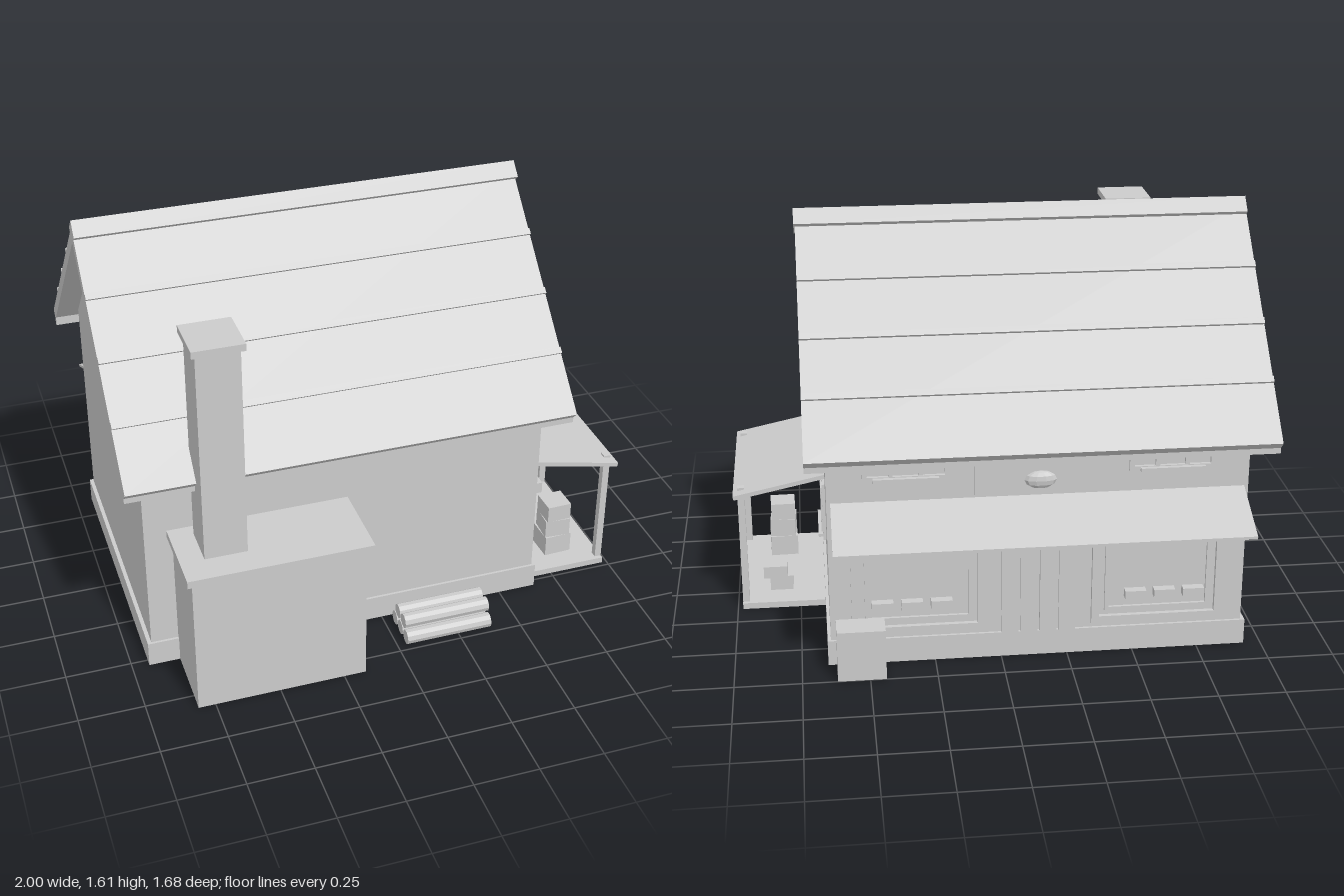
import * as THREE from 'three';

const material = new THREE.MeshStandardMaterial({ color: 0xcccccc, flatShading: true });

function add(parent, name, geometry) {
  const mesh = new THREE.Mesh(geometry, material);
  mesh.name = name;
  parent.add(mesh);
  return mesh;
}

// Box given by its limits on each axis
function box(parent, name, x0, x1, y0, y1, z0, z1) {
  const mesh = add(parent, name, new THREE.BoxGeometry(x1 - x0, y1 - y0, z1 - z0));
  mesh.position.set((x0 + x1) / 2, (y0 + y1) / 2, (z0 + z1) / 2);
  return mesh;
}

// Profile of [z, y] points swept along x
function sweep(parent, name, points, x0, x1) {
  const shape = new THREE.Shape(points.map(([z, y]) => new THREE.Vector2(z, y)));
  const geometry = new THREE.ExtrudeGeometry(shape, { depth: x1 - x0, bevelEnabled: false });
  geometry.rotateY(-Math.PI / 2).translate(x1, 0, 0);
  return add(parent, name, geometry);
}

// Rectangular frame on the back wall
function frame(parent, name, x0, x1, y0, y1, bar, z0, z1) {
  const shape = new THREE.Shape([[x0, y0], [x1, y0], [x1, y1], [x0, y1]].map(p => new THREE.Vector2(...p)));
  shape.holes.push(new THREE.Path([[x0 + bar, y0 + bar], [x0 + bar, y1 - bar], [x1 - bar, y1 - bar], [x1 - bar, y0 + bar]]
    .map(p => new THREE.Vector2(...p))));
  const geometry = new THREE.ExtrudeGeometry(shape, { depth: z1 - z0, bevelEnabled: false });
  geometry.translate(0, 0, z0);
  return add(parent, name, geometry);
}

const RIDGE_Z = -0.05;
const CENTER_X = -0.14;
const BACK = -0.615;

function buildRoof(house) {
  const roof = new THREE.Group();
  roof.name = 'roof';
  house.add(roof);
  const at = (dz, y) => [RIDGE_Z + dz, y];
  sweep(roof, 'roofSlabs', [
    at(0.71, 0.88), at(0, 1.585), at(-0.71, 0.88), at(-0.68, 0.85), at(0, 1.525), at(0.68, 0.85),
  ], -1, 0.715);
  // Ridge beam turned on its corner
  sweep(roof, 'ridgeCap', [at(0.048, 1.563), at(0, 1.612), at(-0.048, 1.563), at(0, 1.515)], -1, 0.72);
  for (const side of [-1, 1]) {
    for (const dz of [0.19, 0.36, 0.53]) {
      const batten = add(roof, 'batten', new THREE.BoxGeometry(1.715, 0.026, 0.024));
      batten.position.set(-0.1425, 1.583 - dz * 0.993, RIDGE_Z + side * dz);
      batten.rotation.x = side * Math.PI / 4;
    }
    const z = RIDGE_Z + side * 0.673;
    box(roof, 'eaveBoard', -1, 0.715, 0.83, 0.885, z - 0.009, z + 0.009);
  }
}

function buildChimney(house) {
  const chimney = new THREE.Group();
  chimney.name = 'chimney';
  house.add(chimney);
  box(chimney, 'ovenBlock', -0.815, -0.165, 0, 0.57, 0.5, 0.82);
  box(chimney, 'ovenSlab', -0.835, -0.14, 0.57, 0.6, 0.51, 0.84);
  box(chimney, 'chimneyStack', -0.745, -0.585, 0.6, 1.435, 0.567, 0.73);
  box(chimney, 'chimneyCap', -0.76, -0.57, 1.433, 1.46, 0.55, 0.745);
}

function buildLogs(house) {
  const logs = new THREE.Group();
  logs.name = 'logPile';
  house.add(logs);
  for (const [z, y] of [[0.71, 0.03], [0.648, 0.03], [0.586, 0.03], [0.679, 0.085], [0.617, 0.085]]) {
    const log = add(logs, 'log', new THREE.CylinderGeometry(0.029, 0.029, 0.345, 10));
    log.rotation.z = Math.PI / 2;
    log.position.set(0.2075, y, z);
  }
}

function buildLeanTo(house) {
  const leanTo = new THREE.Group();
  leanTo.name = 'leanTo';
  house.add(leanTo);
  box(leanTo, 'platform', 0.64, 0.98, 0, 0.025, -0.145, 0.48);
  const cover = add(leanTo, 'leanToRoof', new THREE.BoxGeometry(0.366, 0.017, 0.675));
  cover.position.set(0.816, 0.534, 0.165);
  cover.rotation.z = -0.21;
  for (const z of [-0.115, 0.45]) box(leanTo, 'post', 0.953, 0.98, 0, 0.52, z - 0.014, z + 0.014);

  // Stacked sacks and crates
  const stack = [[0.025, 0.11, 0.056, 0.04], [0.11, 0.185, 0.052, -0.05], [0.185, 0.255, 0.05, 0.03]];
  for (const [y0, y1, r, turn] of stack) {
    box(leanTo, 'sack', 0.815 - r, 0.815 + r, y0, y1, 0.335 - r, 0.335 + r).rotation.y = turn;
  }
  box(leanTo, 'lowerCrate', 0.78, 0.87, 0.03, 0.09, -0.05, 0.04);
  box(leanTo, 'upperCrate', 0.8, 0.895, 0.085, 0.135, -0.055, 0.05);

  // Side window below the cover
  box(leanTo, 'sideWindow', 0.63, 0.652, 0.32, 0.555, -0.21, 0.12);
  box(leanTo, 'sideWindowPanel', 0.64, 0.658, 0.345, 0.53, -0.185, 0.095);
  box(leanTo, 'sideWindowSill', 0.63, 0.67, 0.31, 0.322, -0.16, 0.07);
}

function buildShopFront(house) {
  const shop = new THREE.Group();
  shop.name = 'shopFront';
  house.add(shop);
  for (const side of [-1, 1]) {
    // Display window with goods on the sill
    const x = CENTER_X + side * 0.45;
    frame(shop, 'displayWindowFrame', x - 0.25, x + 0.25, 0.12, 0.6, 0.03, -0.632, BACK + 0.005);
    frame(shop, 'displayWindowTrim', x - 0.2, x + 0.2, 0.17, 0.56, 0.015, -0.626, BACK + 0.005);
    for (const i of [-1, 0, 1]) {
      const gx = CENTER_X + side * 0.475 + i * 0.11;
      box(shop, 'loaf', gx - 0.04, gx + 0.04, 0.225, 0.257, -0.648, BACK + 0.005);
    }
    // Upper window with bars and sill
    const u = CENTER_X + side * 0.49;
    frame(shop, 'upperWindowFrame', u - 0.16, u + 0.16, 0.74, 0.94, 0.018, -0.628, BACK + 0.005);
    for (const dx of [-0.055, 0.055]) {
      box(shop, 'windowBar', u + dx - 0.008, u + dx + 0.008, 0.75, 0.93, -0.626, BACK + 0.005);
    }
    box(shop, 'upperWindowSill', u - 0.12, u + 0.12, 0.74, 0.755, -0.645, BACK + 0.005);
  }
  // Plank door
  for (let i = 0; i < 4; i++) {
    const x = CENTER_X - 0.14 + i * 0.072;
    box(shop, 'doorPlank', x, x + 0.064, 0.1, 0.61, i % 2 ? -0.63 : -0.625, BACK + 0.005);
  }
  // Plain sign board with a rounded knob
  box(shop, 'signBoard', CENTER_X - 0.24, CENTER_X + 0.24, 0.67, 0.79, -0.632, BACK + 0.005);
  const knob = add(shop, 'signKnob', new THREE.SphereGeometry(0.035, 10, 6));
  knob.position.set(CENTER_X, 0.728, -0.638);
  knob.scale.set(1.7, 1, 0.6);

  // Sloping awning
  sweep(shop, 'awning', [[-0.615, 0.647], [-0.615, 0.658], [-0.84, 0.555], [-0.84, 0.544]], -0.905, 0.625);
  box(shop, 'crate', 0.44, 0.62, 0, 0.2, -0.75, -0.645);
}

export function createModel() {
  const house = new THREE.Group();
  house.name = 'house';

  // Gabled walls on a low foundation
  sweep(house, 'walls', [[BACK, 0], [0.52, 0], [0.52, 0.94], [RIDGE_Z, 1.512], [BACK, 0.94]], -0.92, 0.64);
  box(house, 'foundation', -0.935, 0.652, 0, 0.1, -0.625, 0.53);

  buildRoof(house);
  buildChimney(house);
  buildLogs(house);
  buildLeanTo(house);
  buildShopFront(house);
  return house;
}
